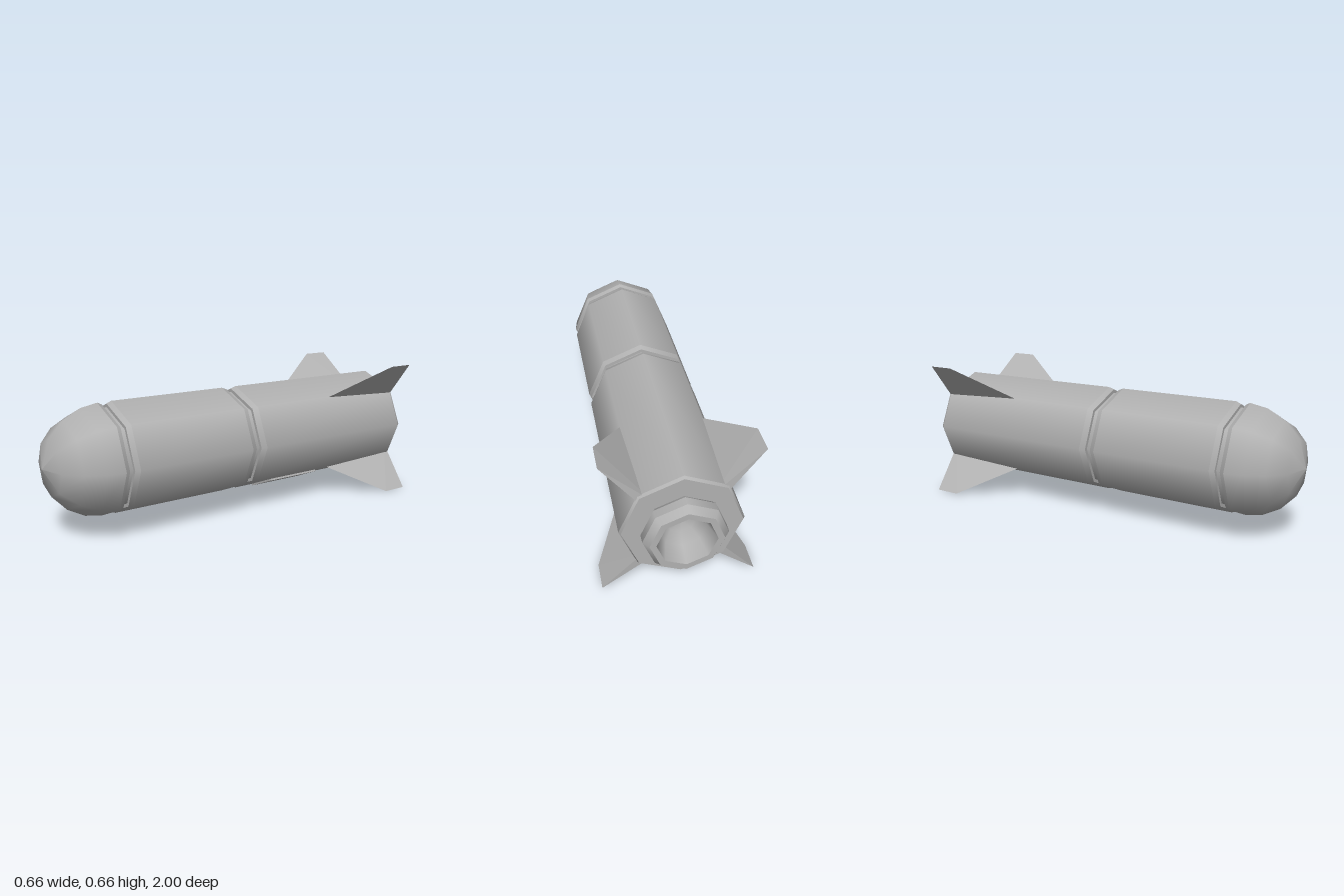
import * as THREE from 'three';

const AXIS_Y = 0.332;   // height of the long axis
const SIDES = 8;

export function createModel() {
  const model = new THREE.Group();
  const grey = new THREE.MeshStandardMaterial({ color: 0xb2b2b2 });

  // Octagonal turned part: each strip is smooth, edges between strips stay sharp.
  // Points are [radius, z], running from back to front along the outside.
  function turned(name, strips) {
    const group = new THREE.Group();
    group.name = name;
    for (const strip of strips) {
      const geo = new THREE.LatheGeometry(strip.map(([r, z]) => new THREE.Vector2(r, z)), SIDES);
      geo.rotateX(Math.PI / 2);
      const mesh = new THREE.Mesh(geo, grey);
      mesh.name = name + 'Surface';
      group.add(mesh);
    }
    group.position.y = AXIS_Y;
    model.add(group);
  }

  // Split a profile into one strip per segment
  const sharp = pts => pts.slice(1).map((p, i) => [pts[i], p]);

  turned('nozzle', [
    [[0, -0.87], [0.06, -0.88], [0.1, -0.92], [0.125, -1]],
    ...sharp([[0.125, -1], [0.152, -1], [0.176, -0.97], [0.176, -0.93], [0.165, -0.912]]),
  ]);
  turned('rearBody', sharp([[0.15, -0.912], [0.252, -0.912], [0.26, -0.9], [0.26, -0.01], [0.25, 0.018], [0.234, 0.018]]));
  turned('middleGroove', [[[0.234, 0.01], [0.234, 0.055]]]);
  turned('frontBody', sharp([[0.234, 0.046], [0.25, 0.046], [0.26, 0.072], [0.26, 0.665], [0.25, 0.688], [0.234, 0.688]]));
  turned('frontGroove', [[[0.234, 0.68], [0.234, 0.72]]]);
  turned('noseCone', [
    ...sharp([[0.234, 0.712], [0.25, 0.712], [0.259, 0.732]]),
    [[0.259, 0.732], [0.244, 0.813], [0.2, 0.895], [0.128, 0.964], [0, 1]],
  ]);

  // Wedge fins: x is radial, y is the thickness, z runs along the body
  const front = [0.2, 0, -0.375], tipFront = [0.469, 0, -0.755], tipBack = [0.469, 0, -0.885];
  const rootA = [0.2, 0.0225, -0.908], rootB = [0.2, -0.0225, -0.908];
  const finGeo = new THREE.BufferGeometry();
  finGeo.setAttribute('position', new THREE.Float32BufferAttribute([
    rootA, front, tipFront, rootA, tipFront, tipBack,
    rootB, tipFront, front, rootB, tipBack, tipFront,
    rootA, tipBack, rootB,
    rootA, rootB, front,
  ].flat(), 3));
  finGeo.computeVertexNormals();
  for (let i = 0; i < 4; i++) {
    const fin = new THREE.Mesh(finGeo, grey);
    fin.name = 'fin' + (i + 1);
    fin.position.y = AXIS_Y;
    fin.rotation.z = Math.PI / 4 + i * Math.PI / 2;
    model.add(fin);
  }

  // Raised access panel on the lower left flat
  const tilt = Math.PI / 8;
  const panel = new THREE.Mesh(new THREE.BoxGeometry(0.165, 0.03, 0.295), grey);
  panel.name = 'accessPanel';
  panel.rotation.z = tilt;
  panel.position.set(0.234 * Math.sin(tilt), AXIS_Y - 0.234 * Math.cos(tilt), -0.248);
  model.add(panel);

  return model;
}
